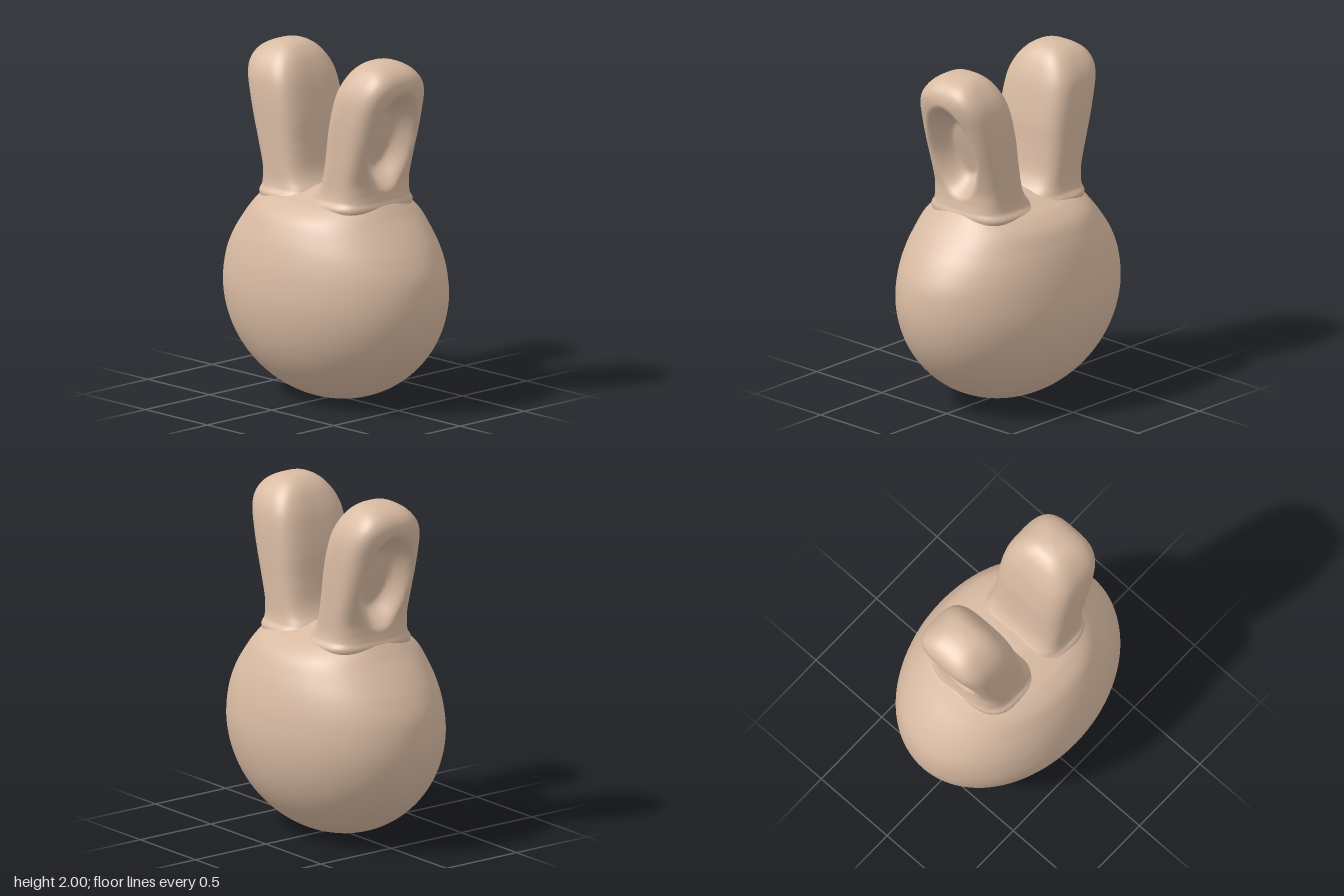
import * as THREE from 'three';
import { mergeVertices } from 'three/addons/utils/BufferGeometryUtils.js';

const skin = new THREE.MeshStandardMaterial({ color: 0xd8baa2, roughness: 0.8 });

// Smooth interpolation through rows of numbers, t in 0..1
function sampleRows(rows, t) {
  const n = rows.length - 1;
  const f = Math.min(t * n, n - 1e-9);
  const i = Math.floor(f), u = f - i;
  const at = (k) => rows[Math.max(0, Math.min(n, k))];
  return rows[0].map((_, c) => {
    const [a, b, d, e] = [at(i - 1)[c], at(i)[c], at(i + 1)[c], at(i + 2)[c]];
    return b + 0.5 * u * (d - a + u * (2 * a - 5 * b + 4 * d - e + u * (3 * (b - d) + e - a)));
  });
}

// Loft of rounded sections; each row is [y, xMin, xMax, zHalf, squareness]
function loft(rows, steps, sides, deform) {
  const pos = [], index = [];
  for (let j = 0; j <= steps; j++) {
    const [y, x0, x1, rz, n] = sampleRows(rows, j / steps);
    for (let i = 0; i < sides; i++) {
      const a = (i / sides) * Math.PI * 2;
      const c = Math.cos(a), s = Math.sin(a);
      const r = 1 / Math.pow(Math.abs(c) ** n + Math.abs(s) ** n, 1 / n);
      const p = new THREE.Vector3((x0 + x1) / 2 + ((x1 - x0) / 2) * r * c, y, rz * r * s);
      if (deform) deform(p, c);
      pos.push(p.x, p.y, p.z);
      if (j < steps) {
        const k = (i + 1) % sides, lo = j * sides, hi = lo + sides;
        index.push(lo + i, hi + i, lo + k, lo + k, hi + i, hi + k);
      }
    }
  }
  let geo = new THREE.BufferGeometry();
  geo.setAttribute('position', new THREE.Float32BufferAttribute(pos, 3));
  geo.setIndex(index);
  geo = mergeVertices(geo, 1e-5);
  geo.computeVertexNormals();
  return geo;
}

// Egg-shaped head: elliptical lower half, then shoulders narrowing to the crown
function headGeometry() {
  const rows = [];
  for (let i = 0; i <= 8; i++) {
    const a = (i / 8) * Math.PI / 2;
    rows.push([0.64 - 0.64 * Math.cos(a), 0.72 * Math.sin(a), 0.54 * Math.sin(a), 2]);
  }
  rows.push(
    [0.78, 0.703, 0.527, 2], [0.9, 0.647, 0.5, 2.05], [1.0, 0.575, 0.464, 2.1],
    [1.09, 0.495, 0.413, 2.25], [1.15, 0.445, 0.335, 2.4], [1.18, 0.415, 0.265, 2.5],
    [1.21, 0.34, 0.18, 2.4], [1.228, 0.2, 0.11, 2.2], [1.236, 0, 0, 2]
  );
  return loft(rows.map(([y, rx, rz, n]) => [y, -rx, rx, rz, n]), 100, 96);
}

// Ear leaning outwards with an oval hollow in its outer face
function earGeometry() {
  const rows = [
    [1.05, 0.03, 0.39, 0.22, 3], [1.15, -0.01, 0.425, 0.285, 3], [1.2, 0.01, 0.415, 0.262, 3.2],
    [1.25, 0.052, 0.406, 0.252, 3.4], [1.32, 0.083, 0.406, 0.25, 3.5], [1.45, 0.105, 0.442, 0.25, 3.5],
    [1.58, 0.12, 0.482, 0.25, 3.5], [1.7, 0.143, 0.514, 0.247, 3.5], [1.8, 0.168, 0.542, 0.235, 3.5],
    [1.87, 0.195, 0.553, 0.21, 3.4], [1.925, 0.225, 0.537, 0.173, 3.2], [1.965, 0.262, 0.495, 0.13, 3],
    [1.99, 0.305, 0.435, 0.077, 2.6], [2.0, 0.365, 0.365, 0, 2.2],
  ];
  return loft(rows, 110, 112, (p, c) => {
    if (c <= 0) return;
    const d = Math.hypot((p.y - 1.545) / 0.3, p.z / 0.18);
    p.x -= 0.13 * (1 - THREE.MathUtils.smoothstep(d, 0.5, 1.02));
  });
}

export function createModel() {
  const group = new THREE.Group();
  const add = (name, geo) => {
    const mesh = new THREE.Mesh(geo, skin);
    mesh.name = name;
    group.add(mesh);
    return mesh;
  };
  add('head', headGeometry());
  const ear = earGeometry();
  add('leftEar', ear);
  add('rightEar', ear).rotation.y = Math.PI;
  return group;
}
